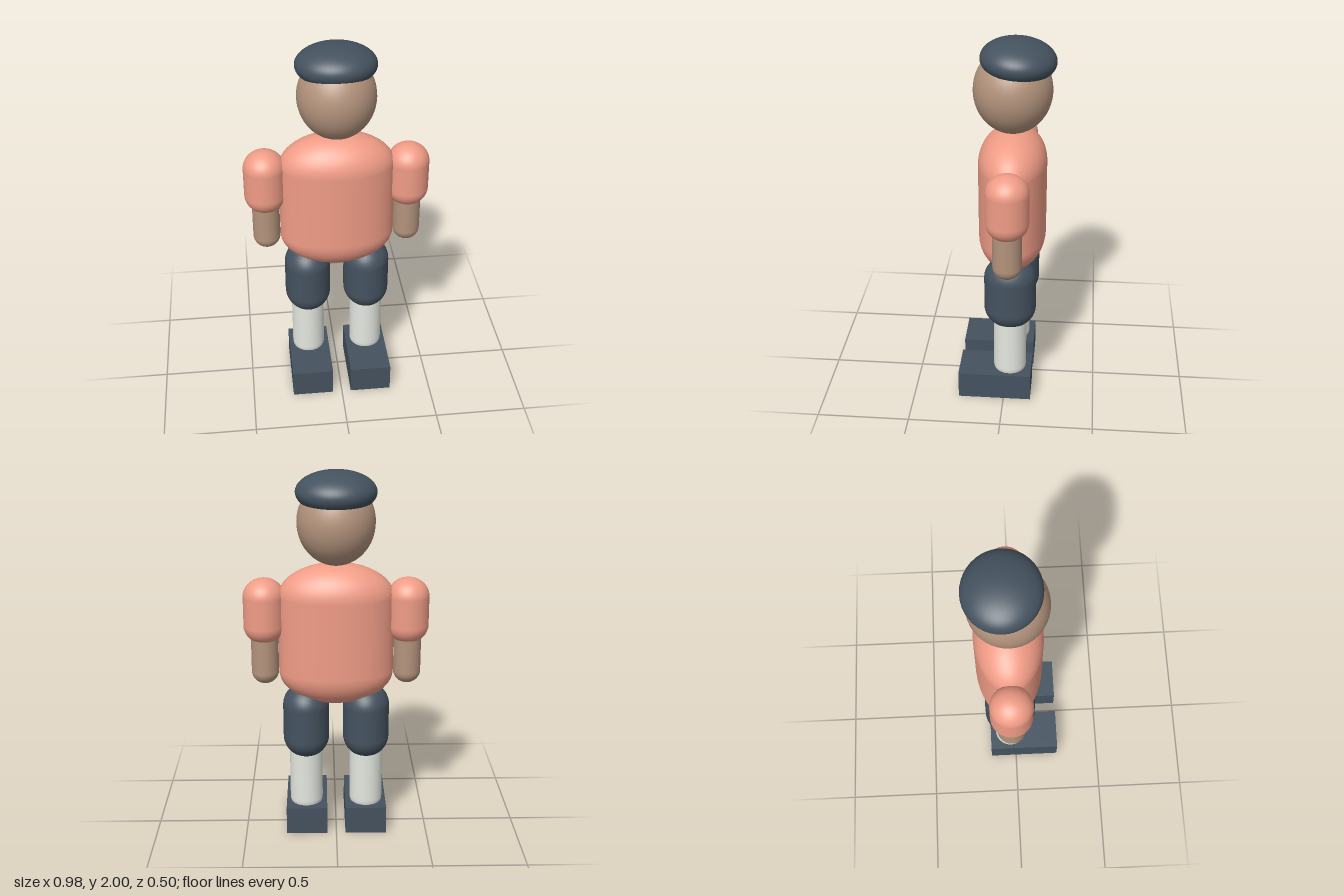
import * as THREE from 'three';

const material = (color) => new THREE.MeshStandardMaterial({ color });

export function createModel() {
  const model = new THREE.Group();
  model.name = 'sportsFigure';

  const shirt = material(0xf09c86);
  const navy = material(0x44525f);
  const skin = material(0xb3937c);
  const white = material(0xe4e8e0);
  const bodyZ = -0.03;

  const add = (name, geometry, mat, x, y, z) => {
    const mesh = new THREE.Mesh(geometry, mat);
    mesh.name = name;
    mesh.position.set(x, y, z);
    model.add(mesh);
    return mesh;
  };

  // Upright capsule from y0 to y1 with an elliptical plan and caps of the given height
  const capsule = (name, mat, x, y0, y1, rx, rz, cap) => {
    const geometry = new THREE.CapsuleGeometry(1, (y1 - y0 - 2 * cap) / cap, 12, 40);
    geometry.scale(rx, cap, rz);
    return add(name, geometry, mat, x, (y0 + y1) / 2, bodyZ);
  };

  // Torso
  capsule('shirt', shirt, 0, 0.75, 1.52, 0.305, 0.18, 0.18);

  // Head
  const head = new THREE.SphereGeometry(1, 40, 28).scale(0.203, 0.225, 0.203);
  add('head', head, skin, 0, 1.735, bodyZ);

  // Flat cap: squashed sphere cut off below its widest ring, closed by a disc
  const cut = Math.PI * 0.65;
  const capTop = new THREE.SphereGeometry(1, 40, 24, 0, Math.PI * 2, 0, cut).scale(0.208, 0.105, 0.194);
  const cap = add('cap', capTop, navy, 0, 1.895, -0.057);
  const disc = new THREE.CircleGeometry(Math.sin(cut), 40).rotateX(Math.PI / 2).scale(0.208, 1, 0.194);
  const underside = new THREE.Mesh(disc, navy);
  underside.name = 'capUnderside';
  underside.position.y = Math.cos(cut) * 0.105;
  cap.add(underside);
  cap.rotation.x = -0.07;

  // Arms and legs
  for (const [side, s] of [['left', 1], ['right', -1]]) {
    capsule(`${side}Sleeve`, shirt, s * 0.379, 1.085, 1.44, 0.11, 0.111, 0.1);
    capsule(`${side}Forearm`, skin, s * 0.379, 0.86, 1.3, 0.073, 0.075, 0.068);
    capsule(`${side}ShortsLeg`, navy, s * 0.163, 0.43, 0.85, 0.125, 0.14, 0.12);
    capsule(`${side}Sock`, white, s * 0.165, 0.09, 0.6, 0.09, 0.09, 0.09);
    add(`${side}Shoe`, new THREE.BoxGeometry(0.225, 0.155, 0.4), navy, s * 0.163, 0.0775, 0.05);
  }

  return model;
}
